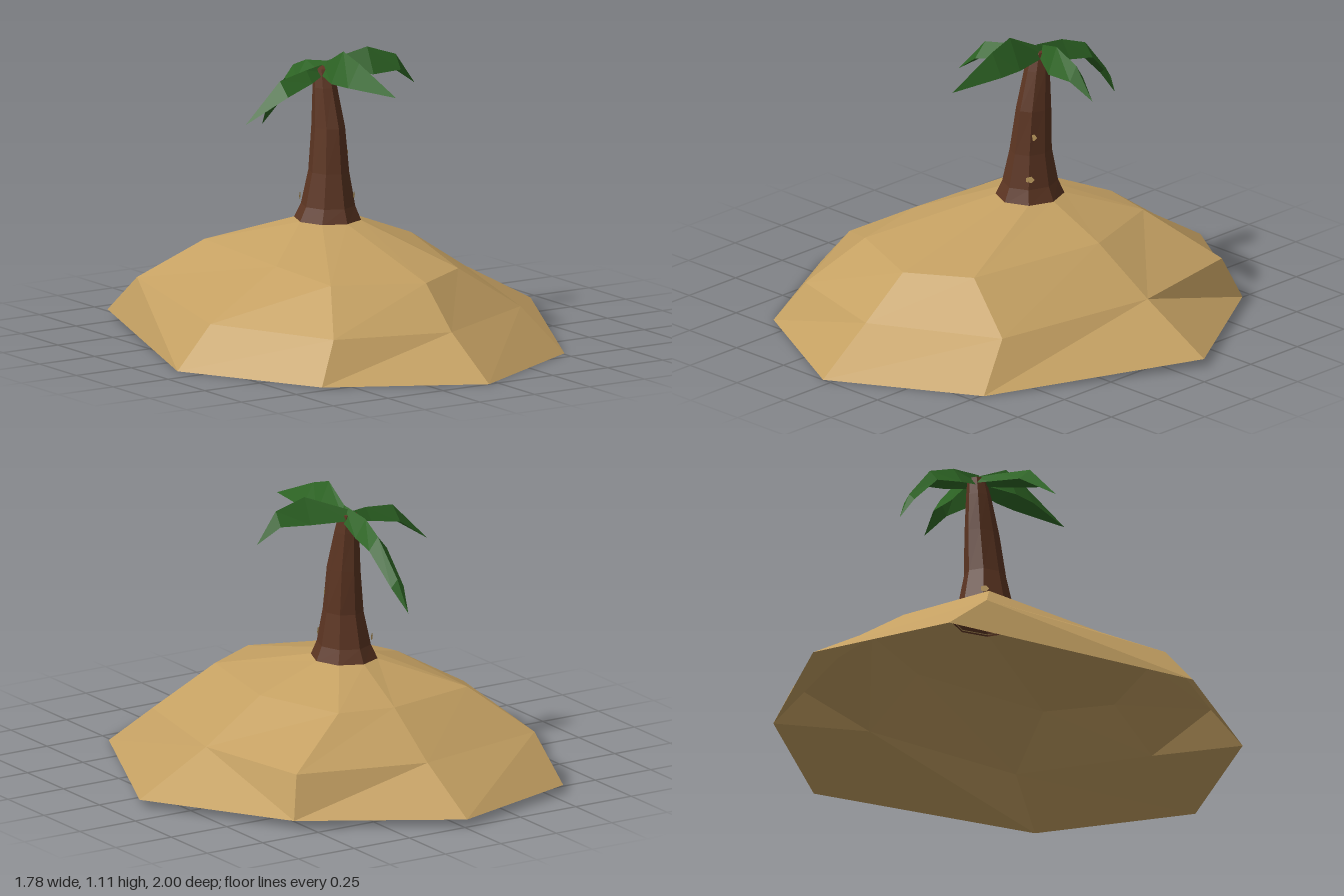
import * as THREE from 'three';

const paint = (name, color) => {
  const m = new THREE.MeshStandardMaterial({ color, side: THREE.DoubleSide, flatShading: true });
  m.name = name;
  return m;
};

// Skin rows of points with flat triangles; flips lists the quads of the first band that use the other diagonal
function skin(rows, closed, flips = []) {
  const pos = [];
  const tri = (...pts) => pts.forEach(p => pos.push(...p));
  for (let r = 0; r < rows.length - 1; r++) {
    const a = rows[r], b = rows[r + 1], n = a.length;
    for (let i = 0; i < (closed ? n : n - 1); i++) {
      const j = (i + 1) % n;
      if (r === 0 && flips.includes(i)) {
        tri(a[i], b[i], b[j]);
        tri(a[i], b[j], a[j]);
      } else {
        tri(a[i], b[i], a[j]);
        tri(b[i], b[j], a[j]);
      }
    }
  }
  const g = new THREE.BufferGeometry();
  g.setAttribute('position', new THREE.Float32BufferAttribute(pos, 3));
  g.computeVertexNormals();
  return g;
}

// Eight-sided level ring, starting at the back
const ring = (x, y, z, rx, rz = rx) => Array.from({ length: 8 }, (_, i) => {
  const a = i * Math.PI / 4;
  return [x + rx * Math.sin(a), y, z - rz * Math.cos(a)];
});

export function createModel() {
  const model = new THREE.Group();
  const sand = paint('sand', 0xc4a062);
  const bark = paint('bark', 0x5c3522);
  const leaf = paint('leaf green', 0x2d6424);
  const add = (name, geometry, material) => {
    const mesh = new THREE.Mesh(geometry, material);
    mesh.name = name;
    model.add(mesh);
    return mesh;
  };

  // Hollow sand mound: shore, lower slope, upper slope, crown
  const shore = [[-0.01, 0.03, -1], [0.55, 0.03, -0.66], [0.89, 0.03, -0.11], [0.51, 0, 0.69],
    [-0.04, 0, 1], [-0.6, 0, 0.7], [-0.89, 0, 0.15], [-0.56, 0.03, -0.82]];
  const lower = [[0, 0.19, -0.74], [0.5, 0.19, -0.6], [0.59, 0.19, -0.11], [0.43, 0.16, 0.51],
    [-0.05, 0.16, 0.76], [-0.5, 0.16, 0.63], [-0.74, 0.165, 0.15], [-0.56, 0.19, -0.62]];
  const upper = [[0, 0.35, -0.51], [0.22, 0.35, -0.46], [0.34, 0.35, -0.1], [0.2, 0.32, 0.43],
    [-0.04, 0.315, 0.57], [-0.38, 0.32, 0.43], [-0.42, 0.345, 0.12], [-0.38, 0.35, -0.43]];
  add('sandMound', skin([shore, lower, upper, ring(-0.035, 0.447, -0.11, 0.122, 0.134)], true, [1, 6]), sand);

  // Leaning trunk with a flared foot
  add('trunk', skin([
    ring(-0.035, 0.44, -0.108, 0.128, 0.138),
    ring(-0.033, 0.5, -0.107, 0.1, 0.112),
    ring(-0.03, 0.63, -0.107, 0.075, 0.085),
    ring(-0.025, 0.8, -0.118, 0.06, 0.073),
    ring(-0.027, 0.95, -0.138, 0.046, 0.05),
    ring(-0.027, 1.02, -0.148, 0.036, 0.036),
    ring(-0.025, 1.03, -0.15, 0),
  ], true), bark);

  // Specks of sand stuck to the bark
  for (const [x, y, z, turn] of [[0.037, 0.54, -0.036, 45], [0.024, 0.7, -0.063, 45], [-0.108, 0.53, -0.186, 225]]) {
    const speck = add('sandSpeck', new THREE.CircleGeometry(0.018, 5), sand);
    speck.position.set(x, y, z);
    speck.rotation.y = THREE.MathUtils.degToRad(turn);
    speck.scale.y = 0.8;
  }

  // Ridged fronds: stations of [x, y, z, half width, edge drop]
  const fronds = {
    frontFrond: [[-0.02, 1.03, -0.16, 0.02, 0.03], [-0.035, 1.11, 0, 0.055, 0.12],
      [-0.03, 1.08, 0.1, 0.05, 0.09], [-0.015, 0.985, 0.33, 0, 0]],
    backFrond: [[-0.02, 1.05, -0.13, 0.02, 0.05], [-0.025, 1.03, -0.27, 0.045, 0.07],
      [-0.01, 0.99, -0.38, 0.04, 0.05], [-0.02, 0.85, -0.5, 0.028, 0.03], [-0.03, 0.73, -0.56, 0, 0]],
    rightFrond: [[-0.02, 1.03, -0.16, 0.02, 0.03], [-0.12, 1.025, -0.125, 0.04, 0.045],
      [-0.26, 1.005, -0.095, 0.055, 0.055], [-0.41, 0.85, -0.105, 0, 0]],
    leftFrond: [[-0.02, 1.04, -0.16, 0.02, 0.04], [0.13, 1.095, -0.085, 0.045, 0.1],
      [0.25, 1.055, -0.07, 0.035, 0.055], [0.335, 0.935, -0.07, 0, 0]],
  };
  for (const [name, stations] of Object.entries(fronds)) {
    const alongX = name === 'rightFrond' || name === 'leftFrond';
    const side = name === 'frontFrond' || name === 'rightFrond' ? 1 : -1;
    const rows = stations.map(([x, y, z, w, d]) => [-side, 0, side].map(s => [
      x + (alongX ? 0 : s * w), y - Math.abs(s) * d, z + (alongX ? s * w : 0)]));
    add(name, skin(rows, false), leaf);
  }
  return model;
}
